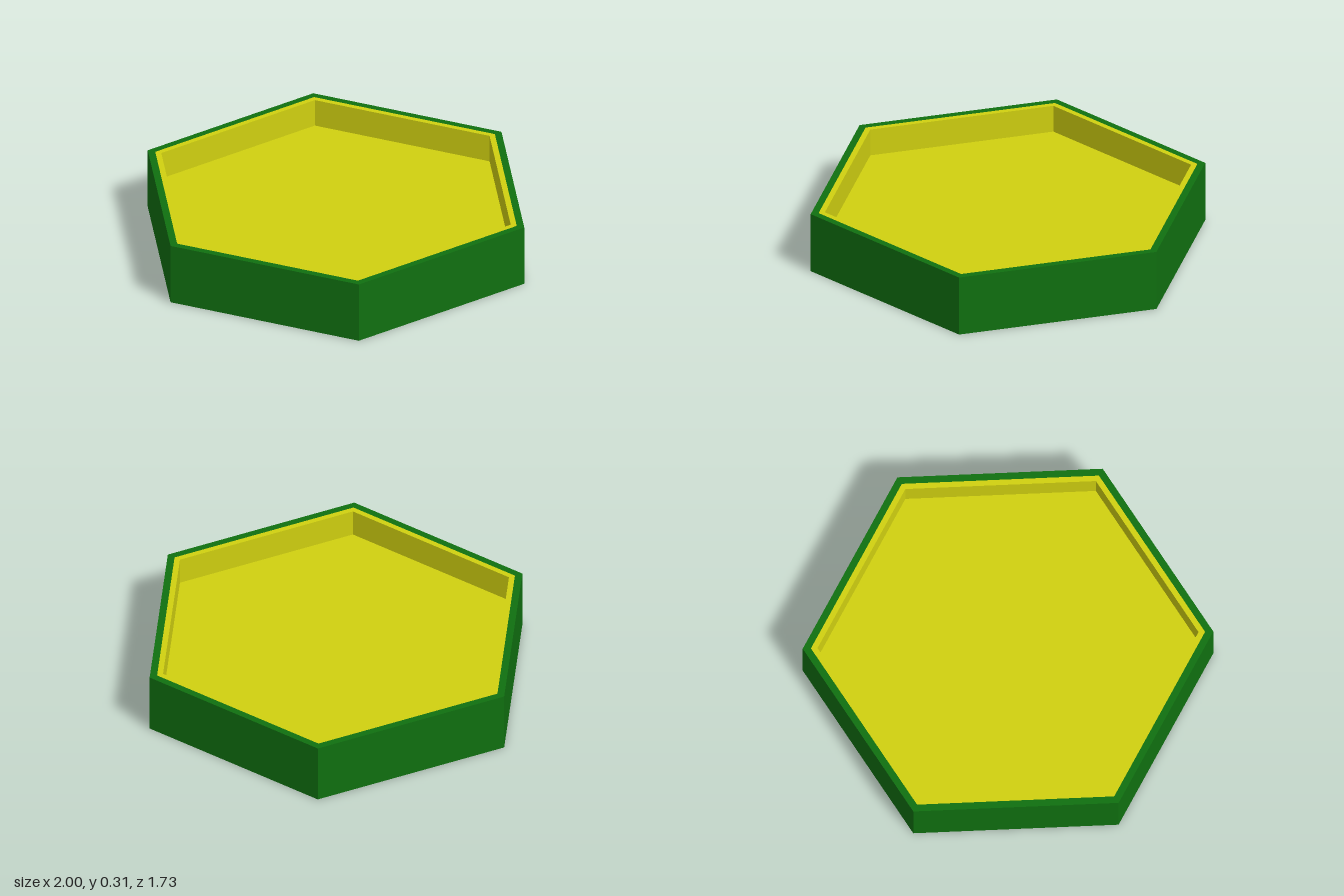
import * as THREE from 'three';

const HEIGHT = 0.31, FLOOR = 0.17;
const OUTER = 1, SEAM = 0.96, INNER = 0.928;

// Six-sided turned surface with corners on the x axis; profile is [radius, y]
function hexPart(name, profile, color) {
  const points = profile.map(([r, y]) => new THREE.Vector2(r, y));
  const geometry = new THREE.LatheGeometry(points, 6, Math.PI / 6).toNonIndexed();
  geometry.computeVertexNormals();
  const material = new THREE.MeshStandardMaterial({ color, flatShading: true });
  const mesh = new THREE.Mesh(geometry, material);
  mesh.name = name;
  return mesh;
}

export function createModel() {
  const group = new THREE.Group();
  group.name = 'hexagonalTray';

  // Green base, side walls and outer edge of the rim
  group.add(hexPart('outerShell', [[0, 0], [OUTER, 0], [OUTER, HEIGHT], [SEAM, HEIGHT]], 0x107010));

  // Yellow rim, inner walls and recessed floor
  group.add(hexPart('innerLining', [[SEAM, HEIGHT], [INNER, HEIGHT], [INNER, FLOOR], [0, FLOOR]], 0xd0d010));

  return group;
}
